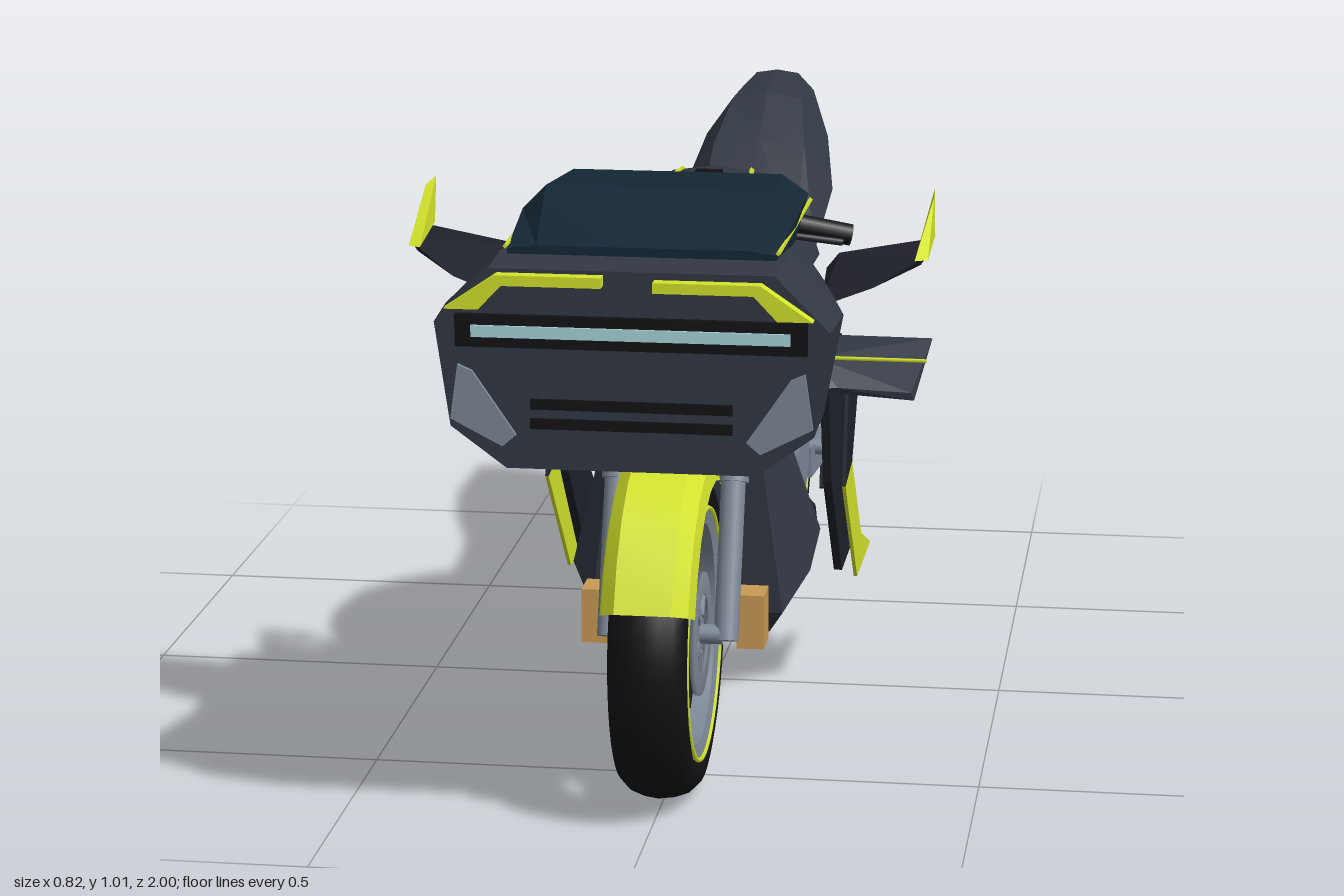
import * as THREE from 'three';
import { toCreasedNormals } from 'three/addons/utils/BufferGeometryUtils.js';
import { ConvexGeometry } from 'three/addons/geometries/ConvexGeometry.js';

const mat = (color, side = THREE.FrontSide) => new THREE.MeshStandardMaterial({ color, side });
const BODY = mat(0x323843), DARK = mat(0x1f212b), BLACK = mat(0x121215), YELLOW = mat(0xd3e42c);
const STEEL = mat(0x7d8896), GOLD = mat(0xc99a54), GLASS = mat(0x142735), LIGHT = mat(0xa9d6d8), RED = mat(0xb01c24);
const V = (p) => new THREE.Vector3(...p);

export function createModel() {
  const root = new THREE.Group();
  const add = (name, geo, m, parent = root) => {
    const mesh = new THREE.Mesh(geo, m);
    mesh.name = name;
    parent.add(mesh);
    return mesh;
  };
  const box = (name, m, size, pos) => add(name, new THREE.BoxGeometry(...size).translate(...pos), m);
  const rod = (name, m, a, b, r, r2 = r, sides = 14) => {
    const d = V(b).sub(V(a));
    const mesh = add(name, new THREE.CylinderGeometry(r2, r, d.length(), sides), m);
    mesh.position.copy(V(a)).addScaledVector(d, 0.5);
    mesh.quaternion.setFromUnitVectors(new THREE.Vector3(0, 1, 0), d.normalize());
  };
  const hull = (name, m, pts) => add(name, new ConvexGeometry(pts.map(V)), m);
  const symHull = (name, m, pts) => hull(name, m, pts.flatMap(([x, y, z]) => [[x, y, z], [-x, y, z]]));
  const pair = (fn) => [1, -1].forEach((s) => fn(s, s > 0 ? 'left' : 'right'));
  const extrude = (pts, t) => new THREE.ExtrudeGeometry(
    new THREE.Shape(pts.map((p) => new THREE.Vector2(...p))), { depth: t, bevelEnabled: false });
  // Plate lying in the side plane, outline given as [z, y]
  const sidePlate = (name, m, pts, x, t) => add(name, extrude(pts, t).rotateY(-Math.PI / 2).translate(x + t / 2, 0, 0), m);
  // Plate facing forward, outline given as [x, y]
  const facePlate = (name, m, pts, z, t) => add(name, extrude(pts, t).translate(0, 0, z), m);
  // Mirrored half sections [x, y] from top centre to bottom centre, front station first
  const loft = (name, m, stations, crease = 0.3) => {
    const rings = stations.map(([z, ...h]) => [...h, ...h.slice(1, -1).reverse().map(([x, y]) => [-x, y])].map(([x, y]) => [x, y, z]));
    const n = rings[0].length, last = (rings.length - 1) * n, idx = [];
    for (let i = 0; i < rings.length - 1; i++) for (let j = 0; j < n; j++) {
      const a = i * n + j, b = i * n + (j + 1) % n;
      idx.push(a, b, a + n, b, b + n, a + n);
    }
    for (let j = 1; j < n - 1; j++) idx.push(0, j + 1, j, last, last + j, last + j + 1);
    const g = new THREE.BufferGeometry();
    g.setAttribute('position', new THREE.Float32BufferAttribute(rings.flat(2), 3));
    g.setIndex(idx);
    g.computeVertexNormals();
    return add(name, toCreasedNormals(g, crease), m);
  };
  const lathe = (pts, seg = 48) => new THREE.LatheGeometry(pts.map((p) => new THREE.Vector2(...p)), seg).rotateZ(Math.PI / 2);

  // Wheels
  const wheel = (name, z, w, axle) => {
    const g = new THREE.Group();
    g.name = name;
    g.position.set(0, 0.27, z);
    root.add(g);
    add('tyre', lathe([[0.2, -w * 0.85], [0.222, -w], [0.24, -w * 0.95], [0.256, -w * 0.7], [0.264, -w * 0.35], [0.267, 0],
      [0.264, w * 0.35], [0.256, w * 0.7], [0.24, w * 0.95], [0.222, w], [0.2, w * 0.85], [0.2, -w * 0.85]]), BLACK, g);
    add('rim', toCreasedNormals(lathe([[0.178, -w * 0.85], [0.2, -w * 0.93], [0.2, w * 0.93], [0.178, w * 0.85], [0.178, -w * 0.85]]), 0.5), STEEL, g);
    add('hub', new THREE.CylinderGeometry(0.04, 0.04, w * 1.7, 20).rotateZ(Math.PI / 2), STEEL, g);
    for (let i = 0; i < 5; i++)
      add('spoke', new THREE.BoxGeometry(w * 0.8, 0.16, 0.045).translate(0, 0.1, 0).rotateX(i * Math.PI * 0.4), DARK, g);
    pair((s) => {
      add('rimStripe', new THREE.TorusGeometry(0.203, 0.004, 6, 48).rotateY(Math.PI / 2).translate(s * w * 0.94, 0, 0), YELLOW, g);
      add('brakeDisc', lathe([[0.065, -0.004], [0.1, -0.004], [0.1, 0.004], [0.065, 0.004], [0.065, -0.004]], 32).translate(s * w * 0.85, 0, 0), STEEL, g);
      for (let i = 0; i < 5; i++)
        add('discArm', new THREE.BoxGeometry(0.006, 0.04, 0.012).translate(s * w * 0.85, 0.05, 0).rotateX((i + 0.5) * Math.PI * 0.4), STEEL, g);
    });
    rod(name + 'Axle', STEEL, [-axle, 0.27, z], [axle, 0.27, z], 0.016);
  };
  wheel('frontWheel', 0.577, 0.063, 0.09);
  wheel('rearWheel', -0.68, 0.072, 0.14);

  // Front mudguard: an arched section swept over the tyre
  const guard = [], guardIdx = [], arch = [[-0.075, 0.245], [-0.068, 0.275], [-0.045, 0.3], [0.045, 0.3], [0.068, 0.275], [0.075, 0.245]];
  for (let i = 0; i <= 8; i++) {
    const a = 0.36 + i * 0.265;
    arch.forEach(([x, r], j) => {
      guard.push(x, 0.275 + Math.sin(a) * r, 0.575 + Math.cos(a) * (r - 0.01));
      const k = i * 6 + j;
      if (i < 8 && j < 5) guardIdx.push(k, k + 1, k + 6, k + 1, k + 7, k + 6);
    });
  }
  const guardGeo = new THREE.BufferGeometry();
  guardGeo.setAttribute('position', new THREE.Float32BufferAttribute(guard, 3));
  guardGeo.setIndex(guardIdx);
  guardGeo.computeVertexNormals();
  add('frontMudguard', toCreasedNormals(guardGeo, 0.4), mat(0xd3e42c, THREE.DoubleSide));

  // Fork, brakes and handlebars
  pair((s, n) => {
    rod(n + 'ForkLower', STEEL, [s * 0.095, 0.26, 0.578], [s * 0.095, 0.52, 0.48], 0.02);
    rod(n + 'ForkUpper', STEEL, [s * 0.095, 0.5, 0.488], [s * 0.095, 0.86, 0.345], 0.025);
    box(n + 'Caliper', GOLD, [0.045, 0.09, 0.06], [s * 0.127, 0.275, 0.493]);
    rod(n + 'BarClamp', STEEL, [s * 0.09, 0.84, 0.32], [s * 0.09, 0.89, 0.32], 0.024);
    rod(n + 'Bar', DARK, [s * 0.09, 0.88, 0.32], [s * 0.17, 0.89, 0.285], 0.012);
    rod(n + 'Grip', BLACK, [s * 0.17, 0.885, 0.285], [s * 0.26, 0.865, 0.265], 0.018);
    rod(n + 'Lever', DARK, [s * 0.15, 0.875, 0.32], [s * 0.25, 0.86, 0.3], 0.006);
  });

  // Front cowl
  loft('cowl', BODY, [
    [0.945, [0, 0.944], [0.215, 0.944], [0.298, 0.86], [0.275, 0.7], [0.19, 0.637], [0, 0.637]],
    [0.82, [0, 0.944], [0.22, 0.944], [0.305, 0.86], [0.276, 0.705], [0.18, 0.648], [0, 0.648]],
    [0.5, [0, 0.93], [0.18, 0.93], [0.245, 0.835], [0.23, 0.72], [0.14, 0.685], [0, 0.685]],
    [0.36, [0, 0.9], [0.15, 0.9], [0.21, 0.81], [0.19, 0.71], [0.1, 0.67], [0, 0.67]],
    [0.27, [0, 0.84], [0.1, 0.84], [0.17, 0.78], [0.15, 0.71], [0.08, 0.67], [0, 0.67]]]);
  box('lightPanel', BLACK, [0.53, 0.05, 0.014], [0, 0.85, 0.947]);
  box('lightBar', LIGHT, [0.48, 0.018, 0.012], [0, 0.85, 0.952]);
  [0.738, 0.708].forEach((y) => box('frontVent', BLACK, [0.305, 0.016, 0.012], [0, y, 0.944]));
  pair((s, n) => {
    facePlate(n + 'CornerPanel', STEEL, [[0.262, 0.797], [0.24, 0.787], [0.174, 0.69], [0.195, 0.672], [0.274, 0.713]].map(([x, y]) => [s * x, y]), 0.94, 0.012);
    facePlate(n + 'BrowStripe', YELLOW, [[0.04, 0.94], [0.2, 0.94], [0.278, 0.887], [0.225, 0.887], [0.19, 0.924], [0.04, 0.924]].map(([x, y]) => [s * x, y]), s > 0 ? 0.975 : 0.953, 0.022);
  });

  // Windscreen with edge trim, and dash display
  loft('windscreen', GLASS, [
    [0.84, [0, 0.958], [0.16, 0.958], [0.205, 0.952], [0.205, 0.935], [0, 0.935]],
    [0.65, [0, 1.013], [0.178, 1.013], [0.215, 0.975], [0.212, 0.935], [0, 0.935]],
    [0.45, [0, 1.0], [0.168, 1.0], [0.21, 0.97], [0.19, 0.915], [0, 0.915]]]);
  pair((s, n) => rod(n + 'ScreenTrim', YELLOW, [s * 0.208, 0.955, 0.84], [s * 0.213, 0.96, 0.45], 0.004, 0.004, 4));
  box('dash', DARK, [0.14, 0.05, 0.025], [0, 0.905, 0.385]);
  box('dashDisplay', YELLOW, [0.11, 0.034, 0.006], [0, 0.908, 0.37]);

  // Upper winglets with upturned tips, lower wings
  pair((s, n) => {
    const f = (pts) => pts.map(([x, y, z]) => [s * x, y, z]);
    hull(n + 'Winglet', DARK, f([[0.24, 0.85, 0.45], [0.25, 0.83, 0.64], [0.26, 0.875, 0.45], [0.33, 0.86, 0.635], [0.405, 0.9, 0.44], [0.41, 0.9, 0.57], [0.4, 0.885, 0.57]]));
    hull(n + 'WingletTip', YELLOW, f([[0.392, 0.895, 0.59], [0.412, 0.895, 0.58], [0.398, 0.905, 0.44], [0.412, 0.905, 0.44], [0.406, 0.97, 0.385], [0.41, 0.968, 0.45]]));
    hull(n + 'LowerWing', BODY, f([[0.2, 0.7, 0.28], [0.2, 0.66, 0.5], [0.22, 0.705, 0.46], [0.26, 0.655, 0.46], [0.392, 0.682, 0.21], [0.385, 0.665, 0.21], [0.374, 0.61, 0.35], [0.37, 0.625, 0.36], [0.17, 0.665, 0.28]]));
    rod(n + 'LowerWingTrim', YELLOW, [s * 0.25, 0.697, 0.43], [s * 0.386, 0.66, 0.28], 0.004, 0.004, 4);
  });

  // Tank, seat and tail
  loft('tank', BODY, [
    [0.34, [0, 0.85], [0.06, 0.845], [0.12, 0.81], [0.13, 0.77], [0.1, 0.74], [0, 0.74]],
    [0.22, [0, 0.908], [0.08, 0.9], [0.155, 0.86], [0.185, 0.79], [0.15, 0.74], [0, 0.72]],
    [0.12, [0, 0.927], [0.085, 0.918], [0.16, 0.875], [0.193, 0.8], [0.15, 0.73], [0, 0.7]],
    [-0.02, [0, 0.92], [0.075, 0.91], [0.145, 0.865], [0.17, 0.79], [0.14, 0.71], [0, 0.68]],
    [-0.12, [0, 0.875], [0.06, 0.868], [0.115, 0.825], [0.14, 0.77], [0.12, 0.7], [0, 0.68]],
    [-0.2, [0, 0.795], [0.05, 0.79], [0.09, 0.77], [0.11, 0.74], [0.1, 0.69], [0, 0.68]]], 0.7);
  box('fuelCap', BLACK, [0.045, 0.012, 0.06], [0, 0.925, 0.1]);
  pair((s, n) => {
    rod(n + 'TankStripe', YELLOW, [s * 0.075, 0.915, 0.13], [s * 0.06, 0.913, -0.02], 0.005, 0.005, 4);
    rod(n + 'TankStripeRear', YELLOW, [s * 0.06, 0.913, -0.02], [s * 0.05, 0.872, -0.12], 0.005, 0.005, 4);
  });
  loft('seat', DARK, [
    [-0.17, [0, 0.745], [0.07, 0.735], [0.105, 0.71], [0.08, 0.68], [0, 0.68]],
    [-0.3, [0, 0.722], [0.08, 0.718], [0.112, 0.7], [0.09, 0.68], [0, 0.675]],
    [-0.47, [0, 0.735], [0.09, 0.73], [0.128, 0.7], [0.1, 0.665], [0, 0.66]]]);
  loft('tail', BODY, [
    [-0.42, [0, 0.72], [0.09, 0.715], [0.125, 0.685], [0.1, 0.64], [0, 0.63]],
    [-0.61, [0, 0.858], [0.085, 0.845], [0.138, 0.765], [0.11, 0.715], [0, 0.7]],
    [-0.74, [0, 0.922], [0.065, 0.91], [0.115, 0.84], [0.09, 0.775], [0, 0.755]],
    [-0.9, [0, 0.938], [0.04, 0.932], [0.07, 0.9], [0.06, 0.84], [0, 0.825]]]);
  pair((s, n) => {
    const f = (pts) => pts.map(([x, y, z]) => [s * x, y, z]);
    hull(n + 'TailStripe', YELLOW, f([[0.13, 0.752, -0.62], [0.116, 0.825, -0.74], [0.106, 0.795, -0.74], [0.072, 0.885, -0.895], [0.068, 0.865, -0.895], [0.05, 0.865, -0.895], [0.09, 0.8, -0.74]]));
    hull(n + 'TailLight', RED, f([[0.1, 0.79, -0.74], [0.08, 0.8, -0.74], [0.072, 0.867, -0.904], [0.065, 0.84, -0.904], [0.045, 0.85, -0.904]]));
  });

  // Main body, lower fairing and belly pan
  symHull('shoulder', DARK, [[0.14, 0.7, 0.36], [0.16, 0.78, 0.18], [0.12, 0.74, 0], [0.12, 0.57, -0.12], [0.1, 0.5, -0.08], [0.11, 0.52, 0.33]]);
  symHull('frontFairing', BODY, [[0.11, 0.64, 0.38], [0.12, 0.45, 0.345], [0.16, 0.24, 0.355], [0.2, 0.3, 0.3], [0.12, 0.158, 0.2], [0.11, 0.62, 0.2], [0.12, 0.42, 0], [0.11, 0.17, 0], [0.19, 0.3, 0.05]]);
  symHull('bellyPan', DARK, [[0.12, 0.16, 0.18], [0.19, 0.3, 0.08], [0.13, 0.38, 0], [0.08, 0.19, -0.26], [0.15, 0.26, -0.24], [0.06, 0.24, -0.42], [0.08, 0.265, -0.38]]);
  box('engineBlock', DARK, [0.2, 0.34, 0.2], [0, 0.47, -0.06]);
  box('bellyFitting', GOLD, [0.24, 0.02, 0.07], [0, 0.215, -0.24]);
  pair((s, n) => {
    rod(n + 'EngineCover', STEEL, [s * 0.08, 0.4, -0.1], [s * 0.145, 0.4, -0.1], 0.088, 0.08, 20);
    sidePlate(n + 'SidePanel', DARK, [[0.32, 0.66], [0.1, 0.66], [-0.11, 0.53], [-0.11, 0.5], [0.04, 0.5], [0.02, 0.38], [-0.16, 0.23], [0.06, 0.23], [0.25, 0.44]], s * 0.222, 0.014);
    sidePlate(n + 'Blade', YELLOW, [[0.26, 0.435], [0.15, 0.45], [-0.02, 0.275], [-0.19, 0.21], [0.045, 0.215]], s * 0.251, 0.006);
    sidePlate(n + 'UpperBlade', DARK, [[0.2, 0.65], [0.02, 0.6], [0.15, 0.45], [0.26, 0.435]], s * 0.251, 0.006);
    rod(n + 'BladeTrim', YELLOW, [s * 0.251, 0.65, 0.2], [s * 0.251, 0.6, 0.02], 0.005, 0.005, 4);
    rod(n + 'PanelTrim', STEEL, [s * 0.23, 0.61, 0.0], [s * 0.23, 0.55, -0.09], 0.004, 0.004, 4);

    // Yellow frame tubes and steel links
    const frame = [[0.13, 0.48, 0.1], [0.145, 0.63, 0.02], [0.12, 0.66, -0.13], [0.11, 0.605, -0.32], [0.125, 0.505, -0.04]].map(([x, y, z]) => [s * x, y, z]);
    for (let i = 0; i < 4; i++) rod(n + 'FrameTube', YELLOW, frame[i], frame[i + 1], 0.014, 0.014, 6);
    rod(n + 'Strut', STEEL, [s * 0.1, 0.61, -0.18], [s * 0.13, 0.36, -0.53], 0.015);
    hull(n + 'Swingarm', STEEL, [0.125, 0.15].flatMap((x) => [[s * x, 0.385, -0.17], [s * x, 0.33, -0.17], [s * x, 0.305, -0.7], [s * x, 0.265, -0.7]]));
    rod(n + 'AxleNut', STEEL, [s * 0.12, 0.285, -0.68], [s * 0.155, 0.285, -0.68], 0.025, 0.025, 12);
    rod(n + 'FootPeg', STEEL, [s * 0.1, 0.37, -0.235], [s * 0.215, 0.37, -0.235], 0.014);

    // Thin rear tyre guard blades
    const outer = [], inner = [];
    for (let i = 0; i <= 14; i++) {
      const a = 1.22 + i * 0.178, w = 0.042 * Math.sin(Math.PI * (0.12 + 0.84 * i / 14)) + 0.003;
      const r = 0.337 - 0.03 * Math.sin(Math.PI * i / 14);
      outer.push([-0.68 + Math.cos(a) * r, 0.27 + Math.sin(a) * r]);
      inner.unshift([-0.68 + Math.cos(a) * (r - w), 0.27 + Math.sin(a) * (r - w)]);
    }
    sidePlate(n + 'RearGuard', DARK, [...outer, ...inner], s * 0.087, 0.014);
  });

  // Rear spring
  rod('shock', STEEL, [0, 0.56, -0.22], [0, 0.33, -0.38], 0.016);
  for (let i = 0; i < 7; i++) {
    const coil = add('springCoil', new THREE.TorusGeometry(0.028, 0.005, 6, 18).rotateX(Math.PI / 2 + 0.6), YELLOW);
    coil.position.set(0, 0.51 - i * 0.022, -0.255 - i * 0.0153);
  }

  // Exhaust on the right side
  rod('exhaustPipe', STEEL, [-0.1, 0.28, -0.1], [-0.17, 0.31, -0.28], 0.025);
  rod('muffler', DARK, [-0.175, 0.31, -0.26], [-0.215, 0.39, -0.64], 0.042, 0.056, 10);
  rod('mufflerEnd', DARK, [-0.215, 0.39, -0.64], [-0.232, 0.425, -0.79], 0.056, 0.048, 10);
  rod('exhaustTip', BLACK, [-0.23, 0.422, -0.78], [-0.234, 0.43, -0.82], 0.036, 0.036, 12);
  return root;
}
